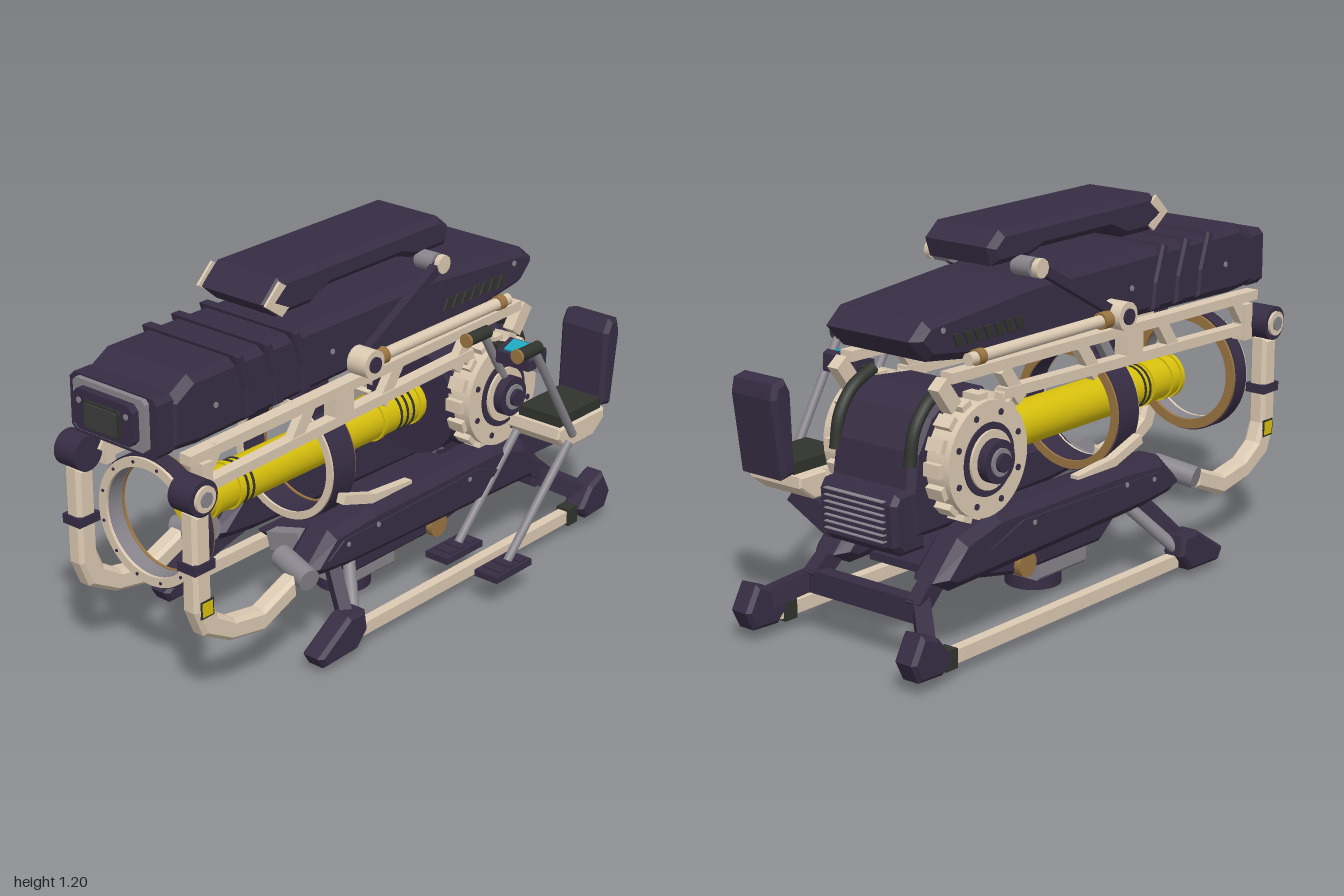
import * as THREE from 'three';

const CX = -0.068; // centre line of the machine body

export function createModel() {
  const root = new THREE.Group();
  const mat = (name, color, side = THREE.FrontSide) => Object.assign(new THREE.MeshStandardMaterial({ color }), { name, side });
  const dark = mat('dark purple', 0x372d44, THREE.DoubleSide), cream = mat('cream', 0xdccab2, THREE.DoubleSide);
  const grey = mat('grey', 0x87848b, THREE.DoubleSide), gold = mat('gold', 0x9a7442, THREE.DoubleSide);
  const yellow = mat('yellow', 0xd8c00c), black = mat('black green', 0x30332e);
  const cyan = mat('cyan', 0x1ea6be), glass = mat('dark glass', 0x3c3c3c);
  const V = (x, y, z) => new THREE.Vector3(x, y, z);

  const add = (name, geo, m, x = 0, y = 0, z = 0) => {
    const mesh = new THREE.Mesh(geo, m);
    mesh.name = name;
    mesh.position.set(x, y, z);
    root.add(mesh);
    return mesh;
  };
  // box given by its min and max corners
  const box = (name, m, x0, x1, y0, y1, z0, z1) =>
    add(name, new THREE.BoxGeometry(x1 - x0, y1 - y0, z1 - z0), m, (x0 + x1) / 2, (y0 + y1) / 2, (z0 + z1) / 2);
  // side profile of [z, y] points, given width across x, chamfered edges
  const slab = (name, m, pts, x, width, bevel = 0.01) => {
    const geo = new THREE.ExtrudeGeometry(new THREE.Shape(pts.map(p => new THREE.Vector2(p[0], p[1]))), {
      depth: width - 2 * bevel, bevelEnabled: true, bevelSegments: 1,
      bevelSize: bevel, bevelThickness: bevel, bevelOffset: -bevel });
    geo.translate(0, 0, bevel - width / 2).rotateY(-Math.PI / 2);
    return add(name, geo, m, x);
  };
  // chamfered rectangle centred on the axis, extruded along z
  const plate = (name, m, w, h, c, y, z0, z1) => {
    const a = w / 2, b = h / 2;
    const s = new THREE.Shape([[-a + c, -b], [a - c, -b], [a, -b + c], [a, b - c], [a - c, b], [-a + c, b], [-a, b - c], [-a, -b + c]]
      .map(p => new THREE.Vector2(p[0], p[1])));
    return add(name, new THREE.ExtrudeGeometry(s, { depth: z1 - z0, bevelEnabled: false }), m, CX, y, z0);
  };
  // square or round bar between two points
  const span = (name, geo, m, a, b) => {
    const mesh = add(name, geo, m);
    mesh.position.copy(a).lerp(b, 0.5);
    mesh.lookAt(b);
    return mesh;
  };
  const bar = (name, m, a, b, w, h = w) => span(name, new THREE.BoxGeometry(w, h, a.distanceTo(b)), m, a, b);
  const rod = (name, m, a, b, r) =>
    span(name, new THREE.CylinderGeometry(r, r, a.distanceTo(b), 24).rotateX(Math.PI / 2), m, a, b);
  // disc with its axis across x
  const disc = (name, m, x0, x1, y, z, r, n = 32) =>
    add(name, new THREE.CylinderGeometry(r, r, Math.abs(x1 - x0), n).rotateZ(Math.PI / 2), m, (x0 + x1) / 2, y, z);
  // hollow ring with its axis along z
  const ring = (name, m, y, z0, z1, ro, ri) => {
    const s = new THREE.Shape().absarc(0, 0, ro, 0, Math.PI * 2);
    s.holes.push(new THREE.Path().absarc(0, 0, ri, 0, Math.PI * 2, true));
    return add(name, new THREE.ExtrudeGeometry(s, { depth: z1 - z0, bevelEnabled: false, curveSegments: 48 }), m, CX, y, z0);
  };

  // upper hull with slanted ribs
  slab('upperHull', dark, [[0.9, 0.825], [0.9, 0.985], [0.81, 1.037], [-0.26, 1.037], [-0.72, 1.0], [-0.78, 0.95],
    [-0.71, 0.88], [-0.5, 0.85], [0.78, 0.815]], CX, 0.365, 0.025);
  for (const z of [0.6, 0.48, 0.36])
    slab('hullRib', dark, [[z + 0.045, 1.047], [z + 0.01, 1.047], [z - 0.03, 0.93], [z - 0.04, 0.84], [z, 0.84], [z + 0.01, 0.93]], CX, 0.385, 0.008);
  // nose with framed window
  plate('noseBase', dark, 0.35, 0.185, 0.018, 0.91, 0.88, 0.945);
  plate('noseFrame', grey, 0.29, 0.16, 0.012, 0.917, 0.945, 0.962);
  plate('noseInset', dark, 0.24, 0.125, 0.018, 0.917, 0.962, 0.987);
  plate('noseBezel', black, 0.145, 0.085, 0.008, 0.912, 0.987, 0.994);
  plate('noseWindow', glass, 0.125, 0.072, 0.004, 0.912, 0.994, 1.0);
  for (const s of [-1, 1]) rod('noseBolt', grey, V(CX + s * 0.095, 0.945, 0.98), V(CX + s * 0.095, 0.945, 0.99), 0.009);

  // top pad
  slab('topPad', dark, [[0.46, 1.13], [0.39, 1.195], [-0.34, 1.195], [-0.395, 1.15], [-0.375, 1.092], [-0.22, 1.092],
    [-0.15, 1.113], [0.17, 1.113], [0.25, 1.078], [0.4, 1.078]], CX, 0.275, 0.02);

  // yellow core tube with collars
  rod('coreTube', yellow, V(CX, 0.535, 0.66), V(CX, 0.535, -0.37), 0.07);
  rod('coreTip', yellow, V(CX, 0.535, 0.655), V(CX, 0.535, 0.665), 0.06);
  for (const z of [0.65, 0.6, 0.5, -0.16, -0.34]) rod('coreCollar', yellow, V(CX, 0.535, z - 0.008), V(CX, 0.535, z + 0.008), 0.076);
  for (const z of [0.6, 0.475, 0.45, -0.24, -0.27, -0.3]) rod('coreBand', black, V(CX, 0.535, z - 0.004), V(CX, 0.535, z + 0.004), 0.073);

  // front ring and middle ring
  ring('frontRing', dark, 0.53, 0.765, 0.82, 0.207, 0.18);
  ring('frontRingFace', cream, 0.53, 0.82, 0.83, 0.202, 0.172);
  ring('frontRingLiner', grey, 0.53, 0.757, 0.82, 0.18, 0.172);
  ring('frontRingBack', gold, 0.53, 0.755, 0.765, 0.202, 0.17);
  for (let i = 0; i < 12; i++) {
    const a = (i + 0.5) / 12 * Math.PI * 2, x = CX + 0.188 * Math.cos(a), y = 0.53 + 0.188 * Math.sin(a);
    rod('ringBolt', dark, V(x, y, 0.826), V(x, y, 0.833), 0.005);
  }
  ring('middleRing', dark, 0.535, 0.14, 0.235, 0.205, 0.176);
  ring('middleRingFace', cream, 0.535, 0.235, 0.243, 0.2, 0.176);
  ring('middleRingBack', gold, 0.535, 0.132, 0.14, 0.2, 0.172);

  // engine block between the wheels, with front flange and rear grille
  slab('engineBlock', dark, [[-0.38, 0.45], [-0.38, 0.67], [-0.44, 0.75], [-0.62, 0.77], [-0.7, 0.72], [-0.76, 0.62],
    [-0.78, 0.5], [-0.76, 0.36], [-0.5, 0.36]], CX, 0.32, 0.02);
  rod('engineFlange', dark, V(CX, 0.535, -0.365), V(CX, 0.535, -0.42), 0.185);
  slab('grilleBox', dark, [[-0.7, 0.32], [-0.7, 0.52], [-0.82, 0.51], [-0.84, 0.48], [-0.83, 0.35], [-0.8, 0.32]], CX, 0.3, 0.015);
  for (let i = 0; i < 7; i++) {
    box('grilleSlat', dark, CX - 0.12, CX + 0.12, 0.355 + i * 0.02, 0.367 + i * 0.02, -0.849, -0.82);
    box('grilleSlatEdge', grey, CX - 0.115, CX + 0.115, 0.367 + i * 0.02, 0.37 + i * 0.02, -0.85, -0.82);
  }

  // lower keel, sensor box and lens
  slab('keel', dark, [[0.2, 0.225], [0.1, 0.135], [-0.3, 0.135], [-0.62, 0.2], [-0.62, 0.225]], CX, 0.335, 0.015);
  plate('sensorBox', grey, 0.24, 0.08, 0.012, 0.1, -0.15, 0.08);
  rod('sensorLens', dark, V(CX, 0.005, -0.035), V(CX, 0.07, -0.035), 0.09);
  rod('lensRim', gold, V(CX, 0.002, -0.035), V(CX, 0.006, -0.035), 0.075);
  rod('lensGlass', black, V(CX, 0, -0.035), V(CX, 0.003, -0.035), 0.055);
  bar('rearCrossbar', dark, V(CX - 0.21, 0.175, -0.8), V(CX + 0.21, 0.175, -0.8), 0.05, 0.07);
  bar('frontBracket', grey, V(0.07, 0.32, 0.3), V(-0.06, 0.285, 0.3), 0.05, 0.06);

  // mirrored parts
  for (const s of [-1, 1]) {
    const X = d => CX + s * d;
    const P = (d, y, z) => V(X(d), y, z);

    // pad hinge levers
    bar('padLever', dark, P(0.2, 0.865, 0.13), P(0.2, 1.085, -0.265), 0.03, 0.03);
    disc('leverPivot', cream, X(0.18), X(0.255), 0.872, 0.11, 0.045);
    disc('leverPivotCap', dark, X(0.255), X(0.262), 0.872, 0.11, 0.025);
    disc('padHinge', grey, X(0.12), X(0.19), 1.08, -0.26, 0.03);
    disc('padHingeCap', cream, X(0.2), X(0.219), 1.08, -0.26, 0.03, 10);
    slab('padNoseTrim', cream, [[0.463, 1.13], [0.4, 1.19], [0.37, 1.17], [0.42, 1.13], [0.36, 1.1], [0.39, 1.078]], X(0.135), 0.008, 0.001);
    // slide tube beside hull
    rod('slideTube', cream, P(0.215, 0.868, 0.06), P(0.215, 0.872, -0.59), 0.019);
    rod('slideCollar', gold, P(0.215, 0.868, 0.06), P(0.215, 0.868, 0.02), 0.027);
    rod('slideEnd', gold, P(0.215, 0.872, -0.53), P(0.215, 0.872, -0.56), 0.024);
    // hull vents and bolts
    for (let i = 0; i < 7; i++)
      slab('hullVent', black, [[-0.3 - i * 0.045, 0.905], [-0.32 - i * 0.045, 0.945], [-0.35 - i * 0.045, 0.945], [-0.33 - i * 0.045, 0.905]], X(0.183), 0.008, 0.001);
    for (const [z, y] of [[0.72, 0.92], [0.22, 0.93], [-0.66, 0.965]]) disc('hullBolt', grey, X(0.18), X(0.186), y, z, 0.009, 10);

    // side truss
    bar('trussTop', cream, P(0.195, 0.8, 0.86), P(0.195, 0.83, -0.66), 0.045, 0.032);
    bar('trussBottom', cream, P(0.195, 0.695, 0.8), P(0.195, 0.735, -0.42), 0.04, 0.032);
    for (const z of [0.78, 0.38, -0.02, -0.38]) bar('trussBrace', cream, P(0.195, 0.7, z + 0.04), P(0.195, 0.81, z - 0.04), 0.03, 0.045);
    bar('trussTail', cream, P(0.195, 0.74, -0.64), P(0.195, 0.82, -0.7), 0.04, 0.05);
    bar('trussFoot', cream, P(0.19, 0.735, -0.4), P(0.19, 0.62, -0.46), 0.04, 0.04);
    bar('ringPost', dark, P(0.1, 0.69, 0.2), P(0.1, 0.83, 0.2), 0.035, 0.07);
    bar('hullStay', grey, P(0.15, 0.69, 0.17), P(0.13, 0.82, 0.1), 0.04, 0.03);
    bar('ringClamp', cream, P(0.19, 0.72, 0.2), P(0.19, 0.8, 0.2), 0.05, 0.08);

    // rear wheel
    const wy = 0.57, wz = -0.537;
    disc('wheelDisc', cream, X(0.16), X(0.245), wy, wz, 0.175, 40);
    disc('wheelRecess', dark, X(0.245), X(0.25), wy, wz, 0.11, 40);
    disc('wheelPlate', cream, X(0.25), X(0.258), wy, wz, 0.09);
    disc('wheelHub', dark, X(0.25), X(0.29), wy, wz, 0.065);
    disc('wheelHubCap', grey, X(0.29), X(0.296), wy, wz, 0.042);
    disc('wheelHubTip', dark, X(0.29), X(0.308), wy, wz, 0.028);
    for (let i = 0; i < 16; i++) {
      const a = i / 16 * Math.PI * 2, c = Math.cos(a), n = Math.sin(a);
      const tooth = add('wheelTooth', new THREE.BoxGeometry(0.06, 0.036, 0.04), cream, X(0.195), wy + 0.175 * c, wz + 0.175 * n);
      tooth.rotation.x = a;
      if (i % 2) disc('wheelBolt', dark, X(0.245), X(0.249), wy + 0.142 * c, wz + 0.142 * n, 0.01, 8);
    }
    const hose = [[0.79, -0.6], [0.75, -0.69], [0.68, -0.745], [0.58, -0.765]].map(p => P(0.145, p[0], p[1]));
    add('engineHose', new THREE.TubeGeometry(new THREE.CatmullRomCurve3(hose), 16, 0.019, 8), black);

    // front arm
    disc('armJoint', dark, X(0.19), X(0.278), 0.71, 0.873, 0.056);
    disc('armJointRim', cream, X(0.278), X(0.287), 0.71, 0.873, 0.04);
    disc('armJointCap', grey, X(0.287), X(0.292), 0.71, 0.873, 0.024, 8);
    slab('frontArm', cream, [[0.905, 0.66], [0.905, 0.35], [0.87, 0.265], [0.76, 0.205], [0.62, 0.18], [0.47, 0.24], [0.48, 0.305],
      [0.62, 0.25], [0.74, 0.27], [0.81, 0.315], [0.835, 0.375], [0.835, 0.66]], X(0.237), 0.062, 0.012);
    box('armBand', dark, X(0.237) - 0.036, X(0.237) + 0.036, 0.475, 0.505, 0.828, 0.912);
    box('armLabelEdge', black, X(0.268) - 0.002, X(0.268) + 0.002, 0.327, 0.383, 0.835, 0.888);
    box('armLabel', yellow, X(0.269) - 0.003, X(0.269) + 0.003, 0.333, 0.377, 0.841, 0.882);
    rod('armSocket', grey, P(0.282, 0.285, 0.44), P(0.14, 0.312, 0.41), 0.036);
    bar('ringLug', cream, P(0.2, 0.66, 0.8), P(0.2, 0.78, 0.8), 0.05, 0.04);

    // lower side hull
    slab('lowerHull', dark, [[0.41, 0.28], [0.3, 0.385], [0.1, 0.397], [-0.5, 0.4], [-0.66, 0.36], [-0.77, 0.25], [-0.7, 0.21],
      [0.22, 0.235], [0.36, 0.25]], X(0.195), 0.13, 0.03);
    slab('lowerHullTrim', dark, [[0.33, 0.3], [0.26, 0.345], [-0.4, 0.355], [-0.55, 0.3]], X(0.26), 0.008, 0.002);
    for (const [z, y] of [[0.24, 0.325], [0.1, 0.34], [-0.35, 0.335]]) disc('lowerHullBolt', grey, X(0.26), X(0.267), y, z, 0.008, 10);
    bar('hullLever', cream, P(0.215, 0.455, 0.22), P(0.215, 0.41, 0.08), 0.03, 0.03);
    bar('hullLeverEnd', cream, P(0.215, 0.41, 0.085), P(0.215, 0.395, -0.1), 0.03, 0.03);
    disc('axlePin', gold, X(0.15), X(0.19), 0.17, -0.29, 0.04, 20);

    // skid: feet, rail and legs
    slab('frontFoot', dark, [[0.485, 0.06], [0.46, 0.02], [0.31, 0.025], [0.26, 0.08], [0.27, 0.145], [0.345, 0.15]], X(0.325), 0.08, 0.012);
    slab('rearFoot', dark, [[-0.83, 0.08], [-0.87, 0.035], [-0.97, 0.04], [-1.0, 0.1], [-0.955, 0.18], [-0.885, 0.15]], X(0.325), 0.08, 0.012);
    bar('skidRail', cream, P(0.318, 0.06, 0.28), P(0.318, 0.06, -0.85), 0.035, 0.042);
    box('railClamp', black, X(0.318) - 0.025, X(0.318) + 0.025, 0.03, 0.09, -0.84, -0.79);
    rod('frontLeg', grey, P(0.32, 0.1, 0.28), P(0.2, 0.25, 0.17), 0.02);
    bar('frontLegBrace', dark, P(0.31, 0.12, 0.31), P(0.19, 0.25, 0.24), 0.04, 0.05);
    bar('rearLegUpper', dark, P(0.195, 0.29, -0.68), P(0.205, 0.18, -0.81), 0.05, 0.06);
    bar('rearLeg', dark, P(0.195, 0.19, -0.78), P(0.325, 0.11, -0.9), 0.05, 0.06);
  }

  // operator seat on the left side
  slab('seatBack', dark, [[-0.81, 0.49], [-0.82, 0.74], [-0.845, 0.785], [-0.89, 0.775], [-0.9, 0.73], [-0.865, 0.48]], 0.283, 0.185, 0.014);
  slab('seatFrame', cream, [[-0.575, 0.485], [-0.57, 0.45], [-0.62, 0.405], [-0.76, 0.405], [-0.82, 0.45], [-0.82, 0.485]], 0.275, 0.21, 0.006);
  box('seatCushion', black, 0.205, 0.37, 0.485, 0.52, -0.81, -0.59);
  bar('seatBracket', dark, V(0.27, 0.41, -0.73), V(0.13, 0.31, -0.7), 0.06, 0.07);
  bar('seatMount', cream, V(0.2, 0.46, -0.68), V(0.1, 0.48, -0.64), 0.08, 0.05);
  for (const x of [0.185, 0.385]) {
    rod('footStrut', grey, V(x, 0.43, -0.62), V(x, 0.12, -0.31), 0.014);
    box('footPedal', dark, x - 0.045, x + 0.045, 0.095, 0.117, -0.38, -0.2);
    for (let i = 0; i < 3; i++) box('pedalTread', dark, x - 0.035, x + 0.035, 0.117, 0.123, -0.36 + i * 0.05, -0.33 + i * 0.05);
    rod('handleStrut', grey, V(x, 0.45, -0.64), V(x, 0.81, -0.42), 0.014);
    rod('handleGrip', black, V(x, 0.815, -0.44), V(x, 0.815, -0.335), 0.021);
    rod('gripCap', gold, V(x, 0.815, -0.338), V(x, 0.815, -0.328), 0.023);
  }
  // control console
  slab('console', dark, [[-0.44, 0.72], [-0.44, 0.76], [-0.51, 0.785], [-0.53, 0.775], [-0.53, 0.72]], 0.285, 0.14, 0.006);
  const screen = box('consoleScreen', cyan, 0.245, 0.325, 0.772, 0.78, -0.502, -0.447);
  screen.rotation.x = 0.34;
  bar('consoleArm', black, V(0.2, 0.74, -0.5), V(0.12, 0.72, -0.52), 0.04);
  bar('handleCrossbar', grey, V(0.185, 0.72, -0.485), V(0.385, 0.72, -0.485), 0.02);
  return root;
}
